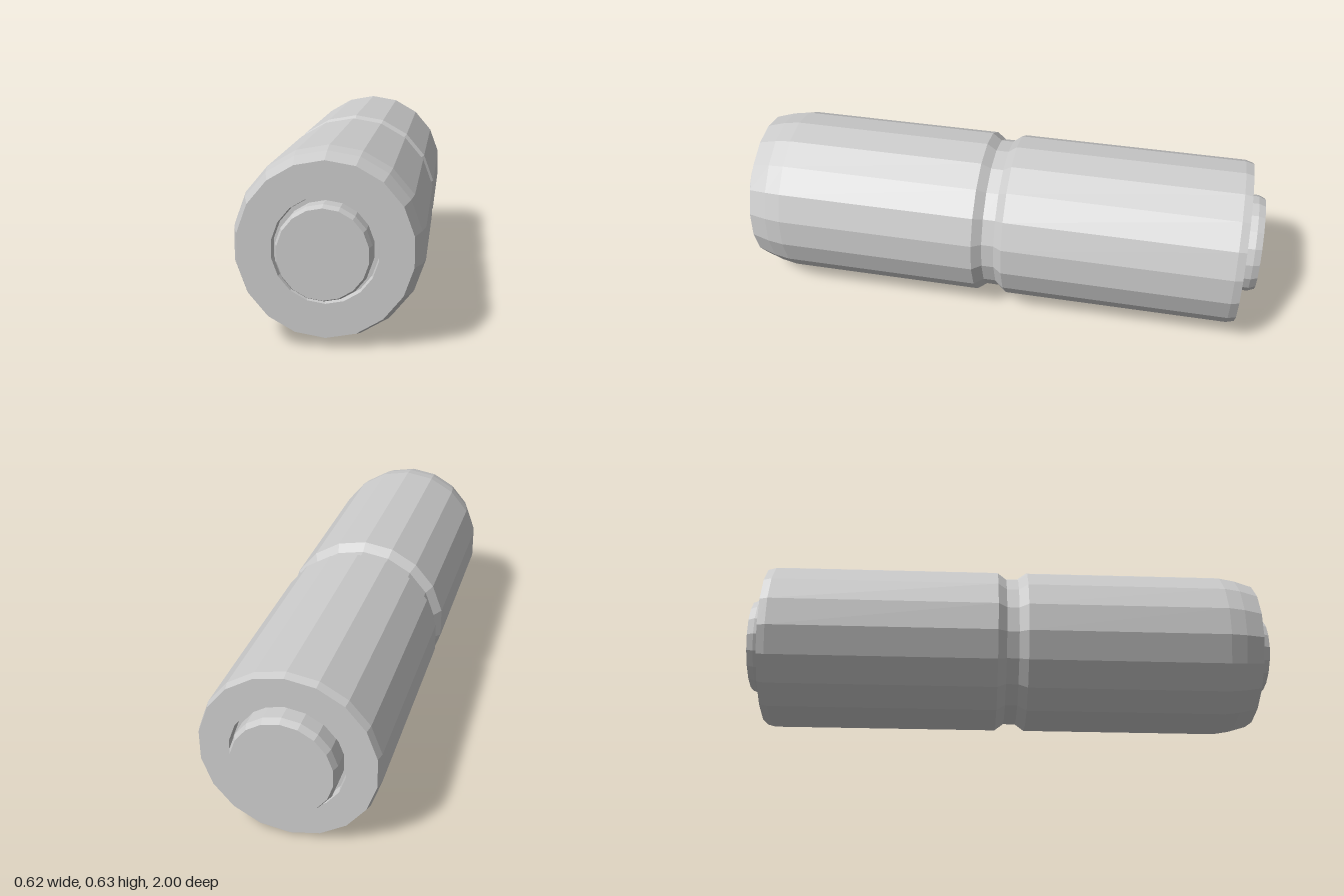
import * as THREE from 'three';

const SIDES = 18;
const AXIS_Y = 0.315;

// Faceted solid of revolution along z; profile is [radius, z] from back to front
function turned(name, profile) {
  const points = profile.map(([r, z]) => new THREE.Vector2(r, z));
  const geometry = new THREE.LatheGeometry(points, SIDES);
  geometry.rotateX(Math.PI / 2);
  const material = new THREE.MeshStandardMaterial({ color: 0xcccccc, flatShading: true });
  const mesh = new THREE.Mesh(geometry, material);
  mesh.name = name;
  mesh.position.y = AXIS_Y;
  return mesh;
}

export function createModel() {
  const group = new THREE.Group();
  group.name = 'cylinder';

  // Casing: back recess, rear half, waist groove, tapered front half, front recess
  group.add(turned('casing', [
    [0, -0.91], [0.195, -0.91], [0.2, -0.94],
    [0.305, -0.94], [0.313, -0.91],
    [0.313, -0.057], [0.288, -0.024], [0.288, 0.022], [0.313, 0.057],
    [0.313, 0.81], [0.303, 0.87], [0.282, 0.94],
    [0.171, 0.94], [0.167, 0.91], [0, 0.91],
  ]));

  // Narrow front terminal with chamfered rim
  group.add(turned('frontTerminal', [
    [0.153, 0.9], [0.153, 0.975], [0.144, 1], [0, 1],
  ]));

  // Wider back terminal with chamfered rim
  group.add(turned('backTerminal', [
    [0, -1], [0.174, -1], [0.184, -0.975], [0.184, -0.9],
  ]));

  return group;
}
